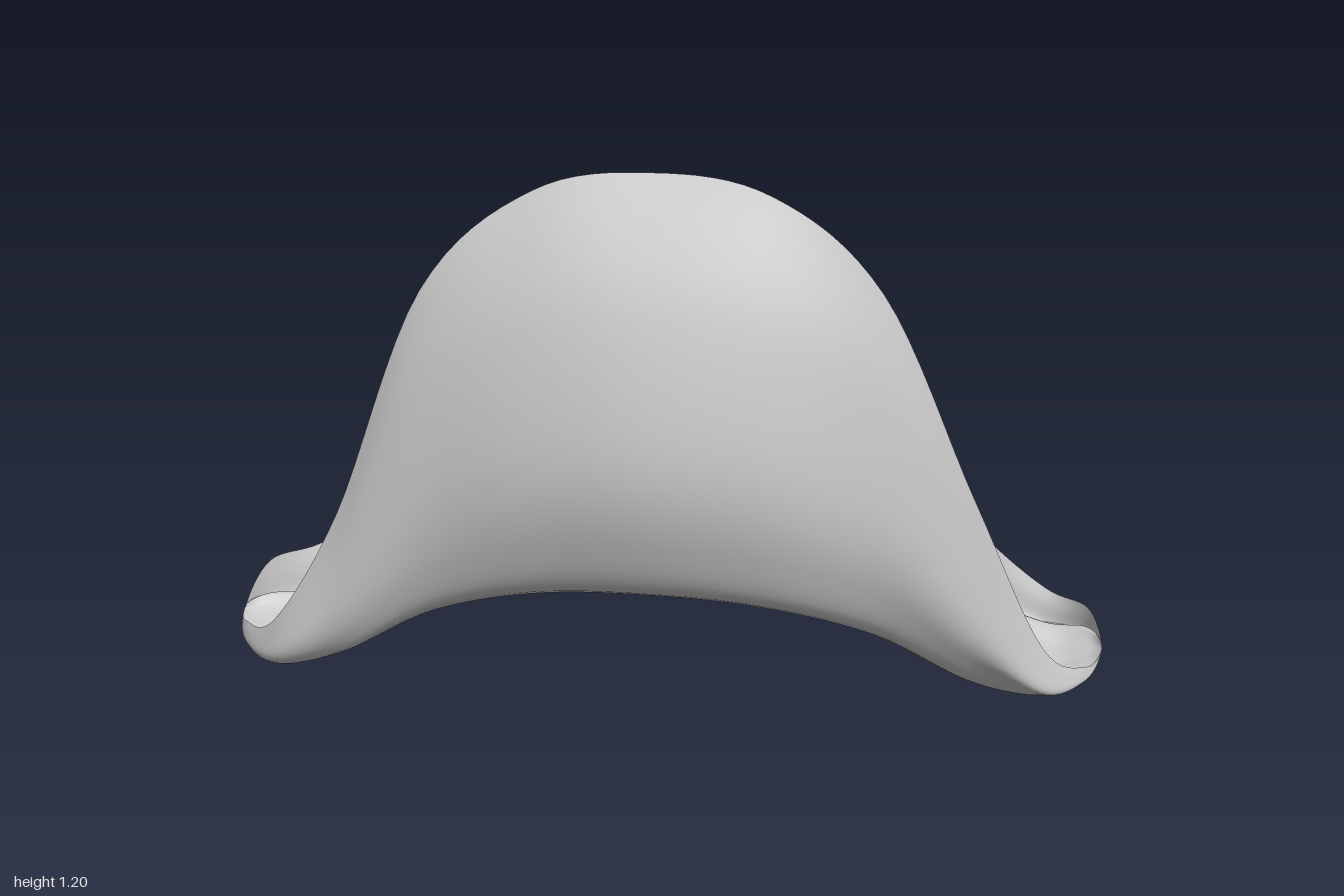
import * as THREE from 'three';

// Outline measures at 13 stations along the width, x = sin(angle), every 15 degrees
const MEASURES = {
  frontY:     [.07, .08, .13, .40, .93, 1.15, 1.195, 1.155, .965, .52, .155, .075, .08],
  frontZ:     [0, .10, .19, .20, .20, .16, .14, .15, .19, .20, .13, .04, -.06],
  frontBulge: [0, .12, .21, .24, .27, .32, .345, .32, .26, .215, .15, .05, -.06],
  backY:      [.07, .15, .165, .27, .52, .73, .79, .73, .52, .27, .13, .12, .08],
  backZ:      [0, -.10, -.19, -.205, -.19, -.18, -.17, -.18, -.20, -.25, -.27, -.19, -.06],
  backBulge:  [0, -.11, -.20, -.225, -.25, -.32, -.345, -.31, -.27, -.285, -.28, -.20, -.06],
  bottom:     [.07, .025, .002, .05, .17, .24, .26, .24, .17, .05, .002, .03, .08],
  crown:      [.07, .05, .05, .15, .35, .53, .58, .53, .35, .15, .05, .06, .08],
};

const mix = THREE.MathUtils.lerp;

// Smooth lookup of a measure, t from 0 to 1 across the width
function measure(list, t) {
  const f = t * (list.length - 1);
  const i = Math.min(Math.floor(f), list.length - 2);
  const k = f - i;
  const at = (j) => list[THREE.MathUtils.clamp(j, 0, list.length - 1)];
  const m0 = (at(i + 1) - at(i - 1)) / 2;
  const m1 = (at(i + 2) - at(i)) / 2;
  const k2 = k * k, k3 = k2 * k;
  return (2 * k3 - 3 * k2 + 1) * at(i) + (k3 - 2 * k2 + k) * m0
    + (3 * k2 - 2 * k3) * at(i + 1) + (k3 - k2) * m1;
}

function sectionAt(t) {
  const s = {};
  for (const key in MEASURES) s[key] = measure(MEASURES[key], t);
  const angle = (t - 0.5) * Math.PI;
  s.x = Math.sin(angle);
  s.full = Math.cos(angle);                      // 1 in the middle, 0 at the tips
  s.mid = (s.frontBulge + s.backBulge) / 2;
  s.tilt = 0.15 * s.full * Math.abs(s.x) ** 3;   // back of both tips sits higher
  s.round = Math.max(0, s.x) ** 3;               // front of the +x tip is rounder
  return s;
}

// Outside of the brims and the underside, front edge to back edge
function outerProfile(s) {
  const fy = (k) => mix(s.frontY, s.bottom, k);
  const by = (k) => mix(s.backY, s.bottom + s.tilt, k);
  return [
    [s.frontZ, s.frontY],
    [mix(s.frontZ, s.frontBulge, .65), fy(.27)],
    [s.frontBulge, fy(.62)],
    [mix(s.mid, s.frontBulge, .9 - .1 * s.round), fy(.86 - .1 * s.round)],
    [mix(s.mid, s.frontBulge, .64 - .15 * s.round), s.bottom + .02 * s.round * s.full],
    [s.mid, s.bottom + .02 * s.full * s.full],
    [mix(s.mid, s.backBulge, .83), s.bottom + s.tilt],
    [mix(s.mid, s.backBulge, .97), by(.88)],
    [s.backBulge, by(.68)],
    [mix(s.backZ, s.backBulge, .6), by(.28)],
    [s.backZ, s.backY],
  ];
}

// Inside of the brims and the crown between them, back edge to front edge
function innerProfile(s) {
  const wall = 0.035 * s.full;
  const dip = s.full * s.full;
  const low = s.crown - .06 * dip;
  return [
    [s.backZ, s.backY],
    [mix(s.backZ, s.backBulge, .55) + wall, mix(s.backY, low, .35)],
    [s.backBulge + 2 * wall, mix(s.backY, low, .9)],
    [mix(s.mid, s.backBulge, .6), low - .03 * dip + s.tilt],
    [mix(s.mid, s.backBulge, .3), s.crown - .03 * dip + .3 * s.tilt],
    [s.mid + .03 * s.full, s.crown],
    [mix(s.mid, s.frontBulge, .38), s.crown - .02 * dip],
    [mix(s.mid, s.frontBulge, .64), low],
    [s.frontBulge - 1.6 * wall, mix(s.frontY, low, .88)],
    [s.frontBulge - wall, mix(s.frontY, low, .65)],
    [mix(s.frontZ, s.frontBulge, .6) - .7 * wall, mix(s.frontY, low, .3)],
    [s.frontZ, s.frontY],
  ];
}

// Skin the profiles across the width
function loft(profile, across = 96, around = 55) {
  const positions = [], index = [];
  for (let i = 0; i <= across; i++) {
    const s = sectionAt(i / across);
    const curve = new THREE.SplineCurve(profile(s).map(([z, y]) => new THREE.Vector2(z, y)));
    for (const p of curve.getPoints(around)) positions.push(s.x, p.y, p.x);
  }
  const row = around + 1;
  for (let i = 0; i < across; i++) {
    for (let j = 0; j < around; j++) {
      const a = i * row + j, b = a + 1, c = a + row, d = c + 1;
      index.push(a, b, c, b, d, c);
    }
  }
  const geometry = new THREE.BufferGeometry();
  geometry.setAttribute('position', new THREE.Float32BufferAttribute(positions, 3));
  geometry.setIndex(index);
  geometry.computeVertexNormals();
  return geometry;
}

export function createModel() {
  const hat = new THREE.Group();
  hat.name = 'hat';
  const felt = new THREE.MeshStandardMaterial({ color: 0xcccccc, side: THREE.DoubleSide });

  const outer = new THREE.Mesh(loft(outerProfile), felt);
  outer.name = 'brimOutside';

  const inner = new THREE.Mesh(loft(innerProfile), felt);
  inner.name = 'brimInsideAndCrown';

  hat.add(outer, inner);
  return hat;
}
